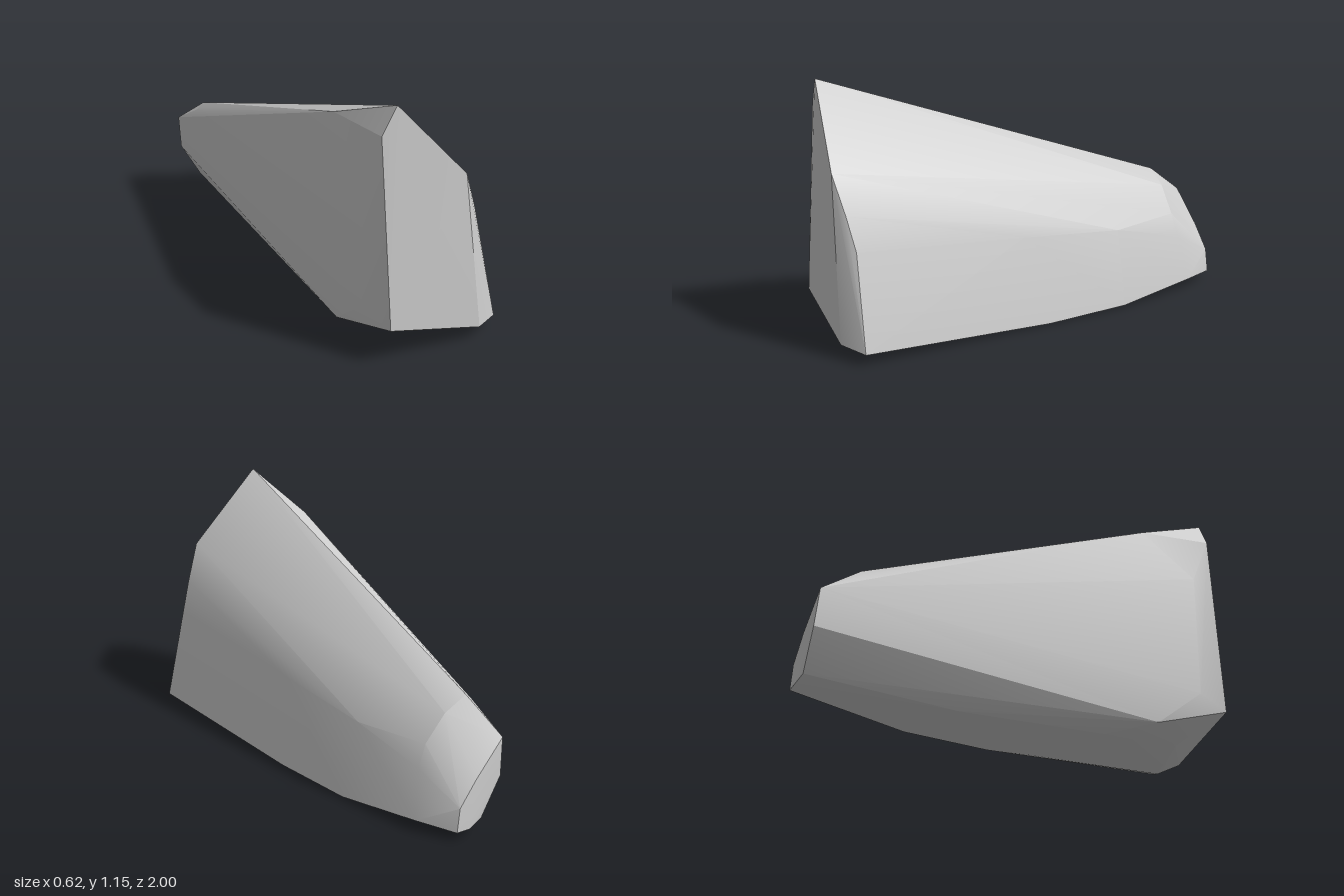
import * as THREE from 'three';
import { ConvexGeometry } from 'three/addons/geometries/ConvexGeometry.js';
import { toCreasedNormals } from 'three/addons/utils/BufferGeometryUtils.js';

// Corners of the boulder, grouped by region, each [x, y, z]
const frontFace = [
  [-0.22, 1.155, 0.945], [-0.287, 1.035, 0.94], [-0.265, 0.18, 1.0],
  [0.185, 0.065, 1.0], [0.095, 0.805, 0.985],
];
const curvedSide = [
  [0.165, 0.63, 0.95], [0.215, 0.48, 0.925], [0.31, 0.05, 0.93],
  [0.125, 0.41, 0.1], [0.065, 0.36, -0.42],
  [0.2, 0.005, 0.0], [0.145, 0.01, -0.42], [0.045, 0.05, -0.83],
  [0.0, 0.27, -0.785], [-0.04, 0.37, -0.775], [-0.14, 0.49, -0.775],
];
const flatSide = [
  [-0.31, 0.81, 0.84], [-0.31, 0.23, 0.84], [-0.295, 1.01, 0.58],
  [-0.3, 0.06, 0.62], [-0.25, 0.55, -0.775], [-0.285, 0.52, -0.775],
];
const backCap = [
  [-0.305, 0.41, -0.965], [-0.155, 0.26, -0.985], [-0.065, 0.15, -0.995],
  [-0.05, 0.04, -1.0], [-0.12, 0.04, -1.0], [-0.19, 0.065, -0.985], [-0.29, 0.24, -0.98],
];
const underside = [
  [0.2, 0.012, 0.89], [0.17, 0.0, 0.2], [-0.13, 0.03, 0.8],
  [-0.2, 0.005, 0.4], [-0.19, 0.008, -0.3],
];

export function createModel() {
  const group = new THREE.Group();
  group.name = 'boulder';

  // Hull through all corners; gentle facets blend, strong edges stay sharp
  const points = [frontFace, curvedSide, flatSide, backCap, underside]
    .flat()
    .map((p) => new THREE.Vector3(...p));
  const geometry = toCreasedNormals(new ConvexGeometry(points), 0.4);

  const rock = new THREE.Mesh(geometry, new THREE.MeshStandardMaterial({ color: 0xcccccc }));
  rock.name = 'rock';
  group.add(rock);
  return group;
}
